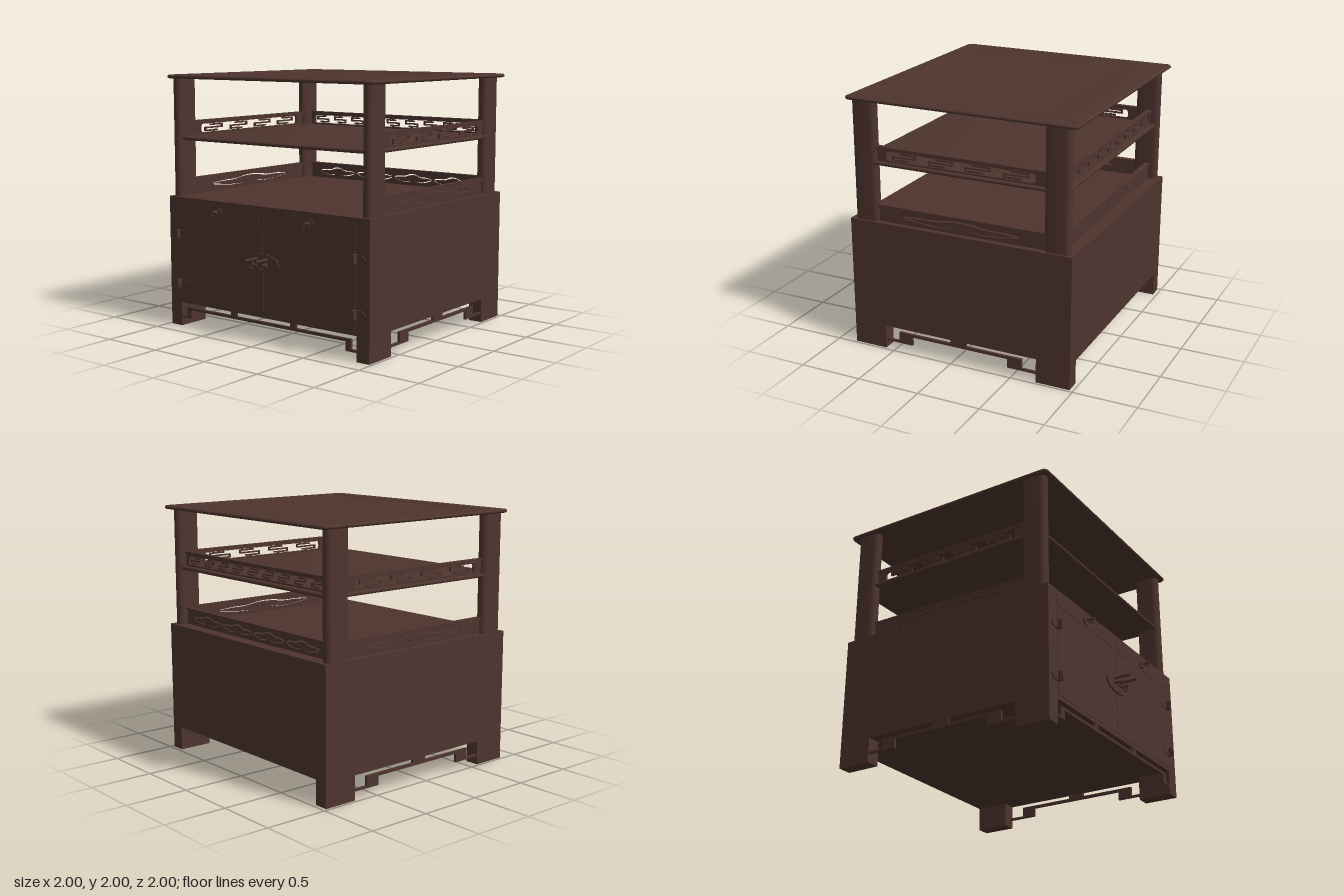
import * as THREE from 'three';
import { toCreasedNormals } from 'three/addons/utils/BufferGeometryUtils.js';

export function createModel() {
  const root = new THREE.Group();
  root.name = 'cabinet';
  const wood = new THREE.MeshStandardMaterial({ color: 0x4e342e });
  wood.name = 'darkWood';

  function add(name, geo, parent = root) {
    const m = new THREE.Mesh(geo, wood);
    m.name = name;
    parent.add(m);
    return m;
  }
  // Box given by its limits on each axis
  function box(name, x0, x1, y0, y1, z0, z1, parent = root) {
    const m = add(name, new THREE.BoxGeometry(x1 - x0, y1 - y0, z1 - z0), parent);
    m.position.set((x0 + x1) / 2, (y0 + y1) / 2, (z0 + z1) / 2);
    return m;
  }
  function roundRect(x0, x1, y0, y1, r, s = new THREE.Shape()) {
    s.moveTo(x0 + r, y0);
    s.lineTo(x1 - r, y0);
    s.absarc(x1 - r, y0 + r, r, -Math.PI / 2, 0);
    s.lineTo(x1, y1 - r);
    s.absarc(x1 - r, y1 - r, r, 0, Math.PI / 2);
    s.lineTo(x0 + r, y1);
    s.absarc(x0 + r, y1 - r, r, Math.PI / 2, Math.PI);
    s.lineTo(x0, y0 + r);
    s.absarc(x0 + r, y0 + r, r, Math.PI, Math.PI * 1.5);
    return s;
  }
  // Horizontal slab with a rounded edge; shape y becomes -z
  function slab(name, shape, y0, y1, bevel) {
    const h = (y1 - y0) / 2;
    const g = new THREE.ExtrudeGeometry(shape, {
      depth: 0.002, bevelThickness: h - 0.001, bevelSize: bevel, bevelSegments: 4, curveSegments: 8,
    });
    g.rotateX(-Math.PI / 2).translate(0, y0 + h - 0.001, 0);
    return add(name, toCreasedNormals(g, 0.6));
  }

  // Cabinet body and corner legs
  box('cabinetBody', -0.98, 0.98, 0.19, 1.04, -0.97, 0.85);
  for (const s of [-1, 1]) {
    for (const [z0, z1] of [[0.58, 0.85], [-0.97, -0.70]]) {
      box('leg', s > 0 ? 0.868 : -0.98, s > 0 ? 0.98 : -0.868, 0, 0.19, z0, z1);
    }
  }

  // Stepped aprons under the front and both sides
  function apron(name, a, b, step, width, struts, strutWidth) {
    const g = new THREE.Group();
    g.name = name;
    const t = 0.02;
    box('apronRail', a + step, b - step, 0.135, 0.157, -t, 0, g);
    box('apronStep', a + step, a + step + width, 0.065, 0.157, -t, 0, g);
    box('apronStep', b - step - width, b - step, 0.065, 0.157, -t, 0, g);
    box('apronFoot', a, a + step, 0.065, 0.082, -t, 0, g);
    box('apronFoot', b - step, b, 0.065, 0.082, -t, 0, g);
    for (const c of struts) box('apronStrut', c - strutWidth / 2, c + strutWidth / 2, 0.157, 0.19, -t, 0, g);
    root.add(g);
    return g;
  }
  apron('frontApron', -0.868, 0.868, 0.055, 0.045, [-0.313, 0.278], 0.055).position.z = 0.845;
  for (const s of [-1, 1]) {
    const g = apron('sideApron', -0.70, 0.58, 0.12, 0.115, [-0.055], 0.13);
    g.rotation.y = -Math.PI / 2;
    g.position.x = s > 0 ? 0.955 : -0.975;
  }

  // Four rounded posts
  for (const x of [-0.928, 0.922]) {
    for (const z of [0.72, -0.84]) {
      const g = new THREE.ExtrudeGeometry(roundRect(-0.042, 0.042, -0.1, 0.1, 0.0419), { depth: 0.94, bevelEnabled: false, curveSegments: 10 });
      g.rotateX(-Math.PI / 2);
      add('post', toCreasedNormals(g, 0.6)).position.set(x, 1.035, z);
    }
  }

  // Top board with a shallow recessed panel, and the middle shelf
  const top = roundRect(-0.98, 0.98, -0.835, 0.98, 0.02);
  top.holes.push(roundRect(-0.895, 0.895, -0.73, 0.74, 0.005, new THREE.Path()));
  slab('topBoard', top, 1.97, 2, 0.02);
  box('topPanel', -0.9, 0.9, 1.972, 1.992, -0.76, 0.75);
  slab('middleShelf', roundRect(-0.945, 0.945, -0.775, 0.9, 0.01), 1.485, 1.515, 0.015);

  // Cloud-shaped slot: a narrow band along a mirrored curve
  const half = [[-0.2, 0.55], [-0.14, 0.22], [-0.38, 0.04], [-0.75, 0.22], [-1, 0.5], [-0.72, 0.68], [-0.42, 0.7], [-0.2, 0.92]];
  function cloudSlot(cx, w, y0, h, t) {
    const pts = [...half, [0, 1], ...half.map(([u, v]) => [-u, v]).reverse()];
    const curve = new THREE.CatmullRomCurve3(pts.map(([u, v]) => new THREE.Vector3(cx + u * w, y0 + v * h, 0)), false, 'centripetal');
    const a = [], b = [], n = 70;
    for (let i = 0; i <= n; i++) {
      const p = curve.getPoint(i / n), d = curve.getTangent(i / n);
      const k = t * (0.3 + 0.7 * Math.sin(Math.PI * i / n));
      a.push(new THREE.Vector2(p.x - d.y * k, p.y + d.x * k));
      b.push(new THREE.Vector2(p.x + d.y * k, p.y - d.x * k));
    }
    return new THREE.Path([...a, ...b.reverse()]);
  }
  function panel(name, x0, x1, y0, y1, holes, parent) {
    const s = new THREE.Shape([[x0, y0], [x1, y0], [x1, y1], [x0, y1]].map(p => new THREE.Vector2(...p)));
    s.holes = holes;
    add(name, new THREE.ExtrudeGeometry(s, { depth: 0.02, bevelEnabled: false, curveSegments: 6 }).translate(0, 0, -0.01), parent);
  }
  // One side of both galleries: cloud panel below, key fret above
  function gallery(name, x0, x1, clouds, cloudWidth, keys, c0, c1) {
    const g = new THREE.Group();
    g.name = name;
    root.add(g);
    const slots = clouds.map(c => cloudSlot(c, cloudWidth, 1.065, 0.068, 0.0055));
    panel('cloudPanel', x0, x1, 1.035, 1.155, slots, g);
    box('lowerRail', x0 - 0.015, x1 + 0.015, 1.152, 1.172, -0.02, 0.02, g);
    panel('fretPanel', x0, x1, 1.51, 1.61, [roundRect(c0, c1, 1.528, 1.597, 0.02, new THREE.Path())], g);
    box('upperRail', x0 - 0.015, x1 + 0.015, 1.608, 1.63, -0.02, 0.02, g);
    const w = (c1 - c0) / keys, t = 0.006;
    for (let i = 0; i < keys; i++) {
      const c = c0 + (i + 0.5) * w, l = c - w * 0.34, r = c + w * 0.34;
      const bar = (a, b, y0, y1) => box('fretBar', a, b, y0, y1, -0.008, 0.008, g);
      bar(l, c + w * 0.14, 1.58, 1.58 + 2 * t);
      bar(l, r, 1.557, 1.557 + 2 * t);
      bar(c - w * 0.14, r, 1.534, 1.534 + 2 * t);
      bar(l, l + 2 * t, 1.557, 1.592);
      bar(r - 2 * t, r, 1.534, 1.569);
      bar(c - t, c + t, 1.592, 1.6);
      bar(c - t, c + t, 1.525, 1.534);
    }
    return g;
  }
  gallery('backGallery', -0.89, 0.885, [-0.6, -0.2, 0.2, 0.6], 0.19, 9, -0.86, 0.845).position.z = -0.86;
  for (const s of [-1, 1]) {
    const g = gallery('sideGallery', -0.74, 0.62, [-0.06], 0.475, 4, -0.665, 0.545);
    g.rotation.y = -Math.PI / 2;
    g.position.x = s * 0.925;
  }

  // Doors and drawer fronts
  const zf = 0.854;
  for (const s of [-1, 1]) {
    box('door', s > 0 ? 0.003 : -0.862, s > 0 ? 0.862 : -0.003, 0.22, 0.88, 0.845, zf);
    box('drawerFront', s > 0 ? 0.04 : -0.865, s > 0 ? 0.865 : -0.04, 0.912, 1.003, 0.845, zf);
  }

  // Metalwork
  function oval(name, x, y, rx, ry, z1) {
    const g = new THREE.CylinderGeometry(1, 1, 1, 32).rotateX(Math.PI / 2);
    const m = add(name, g);
    m.scale.set(rx, ry, z1 - 0.845);
    m.position.set(x, y, (z1 + 0.845) / 2);
  }
  function pin(name, x, y, r, z1) {
    const g = new THREE.CylinderGeometry(r, r, z1 - 0.85, 12).rotateX(Math.PI / 2);
    add(name, g).position.set(x, y, (z1 + 0.85) / 2);
  }
  function ring(name, x, y, z, rx, ry) {
    const m = add(name, new THREE.TorusGeometry(1, 0.14, 8, 28));
    m.scale.set(rx, ry, 0.04);
    m.position.set(x, y, z);
  }
  oval('lockPlate', 0, 0.615, 0.16, 0.07, 0.868);
  for (const s of [-1, 1]) {
    for (const y of [0.75, 0.35]) {
      oval('hingePlate', s * 0.867, y, 0.08, 0.032, 0.86);
      box('hingeKnuckle', s * 0.867 - 0.009, s * 0.867 + 0.009, y - 0.033, y + 0.033, 0.85, 0.897);
    }
    pin('doorPin', s * 0.05, 0.648, 0.011, 1);
    pin('ringPin', s * 0.05, 0.61, 0.011, 0.93);
    ring('doorRing', s * 0.05, 0.592, 0.908, 0.036, 0.022);
    oval('drawerPlate', s * 0.45, 0.957, 0.043, 0.033, 0.866);
    pin('drawerPin', s * 0.45, 0.963, 0.011, 0.928);
    ring('drawerRing', s * 0.45, 0.948, 0.9, 0.034, 0.018);
  }
  return root;
}
